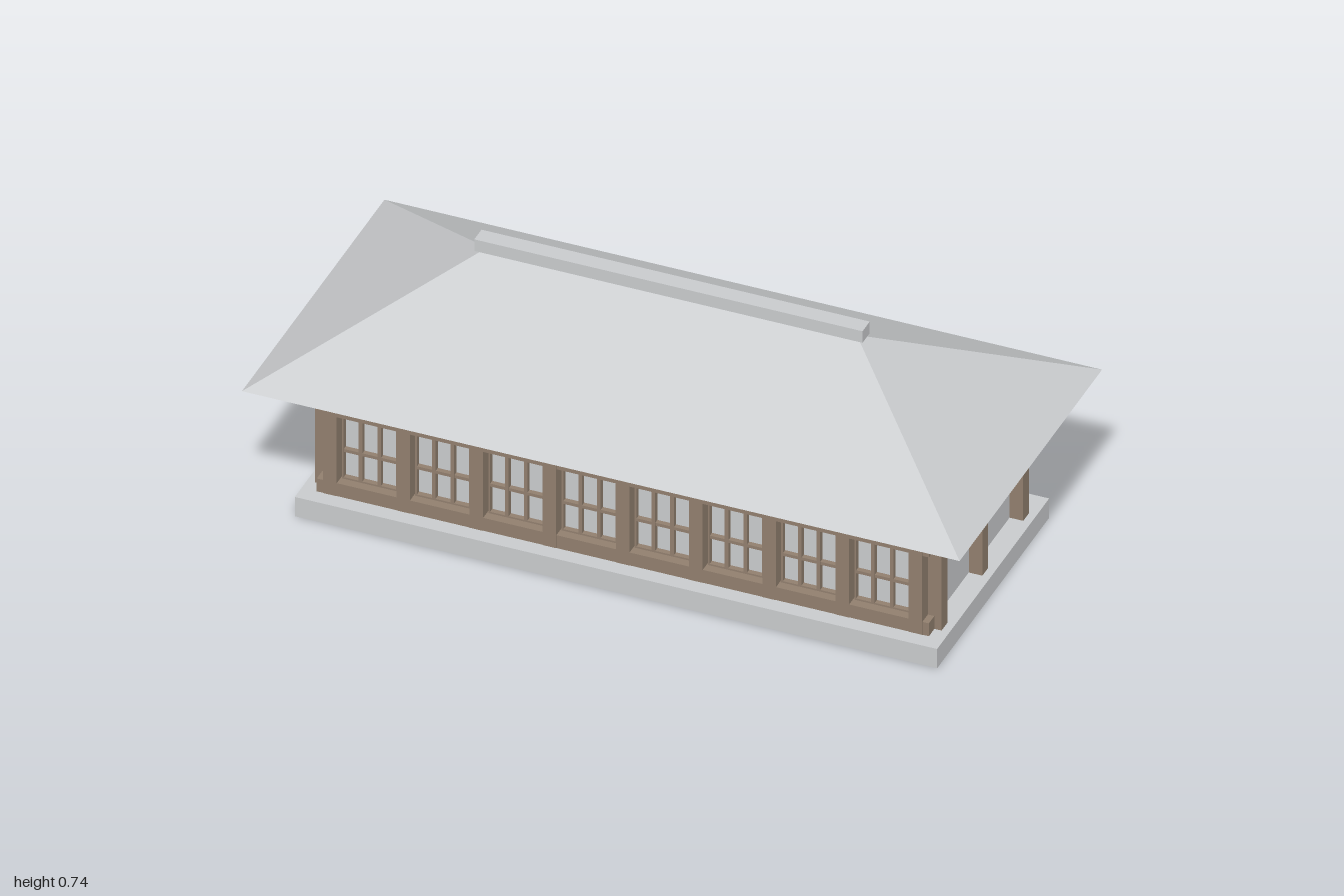
import * as THREE from 'three';
import { ConvexGeometry } from 'three/addons/geometries/ConvexGeometry.js';

const plaster = new THREE.MeshStandardMaterial({ color: 0xc9cbcd });
plaster.name = 'pale grey';
const timber = new THREE.MeshStandardMaterial({ color: 0x917f6e });
timber.name = 'brown timber';

// Box given by its limits on each axis
function box(parent, name, material, [x0, x1], [y0, y1], [z0, z1]) {
  const mesh = new THREE.Mesh(new THREE.BoxGeometry(x1 - x0, y1 - y0, z1 - z0), material);
  mesh.position.set((x0 + x1) / 2, (y0 + y1) / 2, (z0 + z1) / 2);
  mesh.name = name;
  parent.add(mesh);
  return mesh;
}

const FLOOR = 0.06, WALL_TOP = 0.415;
const WALL_X = 0.835, WALL_Z = 0.29;
const POST = 0.0375, BAY = 0.204;

// Posts and rails of one long side, facing +z
function longSide(name) {
  const side = new THREE.Group();
  side.name = name;
  for (let i = -4; i <= 4; i++) {
    const x = i * BAY;
    box(side, 'post', timber, [x - POST / 2, x + POST / 2], [FLOOR, WALL_TOP], [WALL_Z, WALL_Z + POST]);
  }
  const depth = [WALL_Z, WALL_Z + POST - 0.001];
  box(side, 'sillRail', timber, [-0.853, 0.853], [FLOOR, 0.1], depth);
  box(side, 'headRail', timber, [-0.853, 0.853], [0.305, 0.33], depth);
  return side;
}

// Lattice window: three columns by two rows
function latticeWindow(x) {
  const win = new THREE.Group();
  win.name = 'latticeWindow';
  const w = 0.078, bar = 0.005, y0 = 0.103, y1 = 0.302;
  const z = [WALL_Z, WALL_Z + 0.015];
  for (const s of [-1, 1]) {
    const e = s * (w - bar / 2);
    box(win, 'stile', timber, [e - bar / 2, e + bar / 2], [y0, y1], z);
    const m = s * w / 3;
    box(win, 'verticalBar', timber, [m - bar, m + bar], [y0, y1], z);
  }
  box(win, 'bottomFrame', timber, [-w, w], [y0, y0 + bar], z);
  box(win, 'topFrame', timber, [-w, w], [y1 - bar, y1], z);
  box(win, 'crossBar', timber, [-w, w], [0.186, 0.195], [WALL_Z, WALL_Z + 0.014]);
  win.position.x = x;
  return win;
}

export function createModel() {
  const model = new THREE.Group();
  model.name = 'pavilion';

  box(model, 'plinth', plaster, [-0.895, 0.895], [0, FLOOR], [-0.372, 0.372]);
  box(model, 'walls', plaster, [-WALL_X, WALL_X], [FLOOR, WALL_TOP], [-WALL_Z, WALL_Z]);

  // Long sides, with windows on the front only
  const front = longSide('frontFrame');
  for (let i = 0; i < 8; i++) front.add(latticeWindow((i - 3.5) * BAY));
  const back = longSide('backFrame');
  back.rotation.y = Math.PI;
  model.add(front, back);

  // Three posts on each short side
  for (const s of [-1, 1]) {
    for (const z of [-0.271, 0, 0.271]) {
      const post = box(model, 'sidePost', timber, [-0.019, 0.019], [FLOOR, WALL_TOP], [z - 0.019, z + 0.019]);
      post.position.x = s * (WALL_X + 0.019);
    }
  }

  // Hipped roof with flat underside
  const points = [];
  for (const sx of [-1, 1]) {
    for (const sz of [-1, 1]) points.push(new THREE.Vector3(sx, 0.425, sz * 0.473));
    points.push(new THREE.Vector3(sx * 0.515, 0.702, 0));
  }
  const roof = new THREE.Mesh(new ConvexGeometry(points), plaster);
  roof.name = 'hippedRoof';
  model.add(roof);
  box(model, 'ridgeCap', plaster, [-0.541, 0.541], [0.7, 0.736], [-0.024, 0.024]);

  return model;
}
